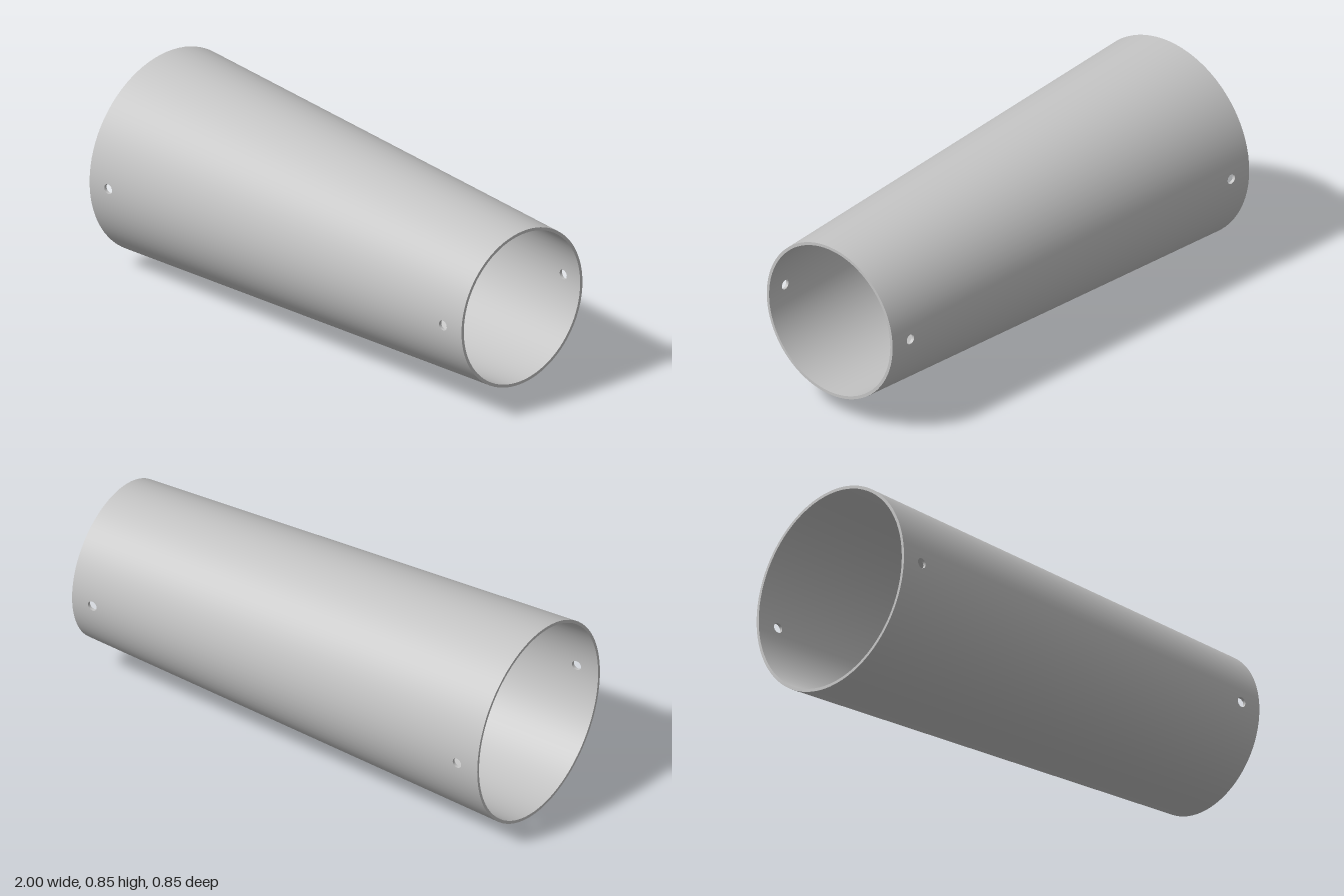
import * as THREE from 'three';
import { mergeGeometries } from 'three/addons/utils/BufferGeometryUtils.js';

const SIDES = 80, STEP = (Math.PI * 2) / SIDES;
const R_WIDE = 0.424, R_NARROW = 0.332, WALL = 0.0125;
const HOLE_R = 0.021, HOLE_X = 0.9, BAND = 0.05;
const SLOPE = (R_WIDE - R_NARROW) / 2;
const radiusAt = (x) => R_WIDE - SLOPE * (x + 1);

// Reverse the corner order of every triangle
function flip(geo) {
  const a = geo.index.array;
  for (let i = 0; i < a.length; i += 3) [a[i], a[i + 1]] = [a[i + 1], a[i]];
  return geo;
}

// Roll a flat sheet (x = along the axis, y = angle, z = depth into the wall) into the cone
function roll(geo, turn = 0) {
  const p = geo.attributes.position;
  for (let i = 0; i < p.count; i++) {
    const x = p.getX(i), t = p.getY(i) + turn, r = radiusAt(x) - p.getZ(i);
    p.setXYZ(i, x, r * Math.sin(t), r * Math.cos(t));
  }
  return geo;
}

// Smooth cone normals, pointing outwards (1) or inwards (-1)
function coneNormals(geo, sign) {
  const p = geo.attributes.position, n = geo.attributes.normal, v = new THREE.Vector3();
  for (let i = 0; i < p.count; i++) {
    const r = Math.hypot(p.getY(i), p.getZ(i));
    v.set(SLOPE, p.getY(i) / r, p.getZ(i) / r).normalize().multiplyScalar(sign);
    n.setXYZ(i, v.x, v.y, v.z);
  }
  return geo;
}

// Rectangular sheet between two axial positions and two angles
function sheet(x0, x1, t0, t1) {
  const segs = Math.round((t1 - t0) / STEP);
  return new THREE.PlaneGeometry(x1 - x0, t1 - t0, 1, segs)
    .translate((x0 + x1) / 2, (t0 + t1) / 2, 0);
}

// Small panel with a round hole, two steps wide
function holePanel(cx) {
  const l = cx - BAND, r = cx + BAND;
  const shape = new THREE.Shape([[l, -STEP], [r, -STEP], [r, 0], [r, STEP], [l, STEP], [l, 0]]
    .map(([x, y]) => new THREE.Vector2(x, y)));
  const hole = new THREE.Path();
  hole.absellipse(cx, 0, HOLE_R, HOLE_R / radiusAt(cx), 0, Math.PI * 2, true);
  shape.holes.push(hole);
  return new THREE.ShapeGeometry(shape, 24);
}

// One skin of the wall, at a given depth
function skin(depth, sign) {
  const parts = [];
  const inner = HOLE_X - BAND, outer = HOLE_X + BAND;
  for (const [a, b] of [[-1, -outer], [-inner, inner], [outer, 1]])
    parts.push(roll(sheet(a, b, 0, Math.PI * 2).translate(0, 0, depth)));
  for (const cx of [-HOLE_X, HOLE_X]) for (const turn of [0, Math.PI]) {
    parts.push(roll(sheet(cx - BAND, cx + BAND, STEP, Math.PI - STEP).translate(0, 0, depth), turn));
    parts.push(roll(holePanel(cx).translate(0, 0, depth), turn));
  }
  const geo = mergeGeometries(parts);
  if (sign < 0) flip(geo);
  return coneNormals(geo, sign);
}

// Wall of a drilled hole
function bore(cx, turn) {
  const geo = new THREE.CylinderGeometry(HOLE_R, HOLE_R, WALL, 24, 1, true)
    .rotateX(Math.PI / 2).scale(1, 1 / radiusAt(cx), 1).translate(cx, 0, WALL / 2);
  // Depth runs inwards, so rolling already turns the faces towards the hole's centre
  roll(geo, turn).computeVertexNormals();
  return geo;
}

export function createModel() {
  const model = new THREE.Group();
  model.name = 'taperedTube';
  const grey = new THREE.MeshStandardMaterial({ color: 0xc4c4c4, side: THREE.DoubleSide });
  grey.name = 'light grey';

  const add = (name, geo) => {
    const mesh = new THREE.Mesh(geo, grey);
    mesh.name = name;
    mesh.position.y = R_WIDE;
    model.add(mesh);
  };

  // Outer and inner skins
  add('outerWall', skin(0, 1));
  add('innerWall', skin(WALL, -1));

  // End rims
  for (const s of [-1, 1]) {
    const r = radiusAt(s);
    add(s < 0 ? 'wideRim' : 'narrowRim',
      new THREE.RingGeometry(r - WALL, r, SIDES).rotateY(s * Math.PI / 2).translate(s, 0, 0));
  }

  // Bolt holes, front and back at each end
  for (const cx of [-HOLE_X, HOLE_X])
    for (const turn of [0, Math.PI]) add('boltHole', bore(cx, turn));

  return model;
}
